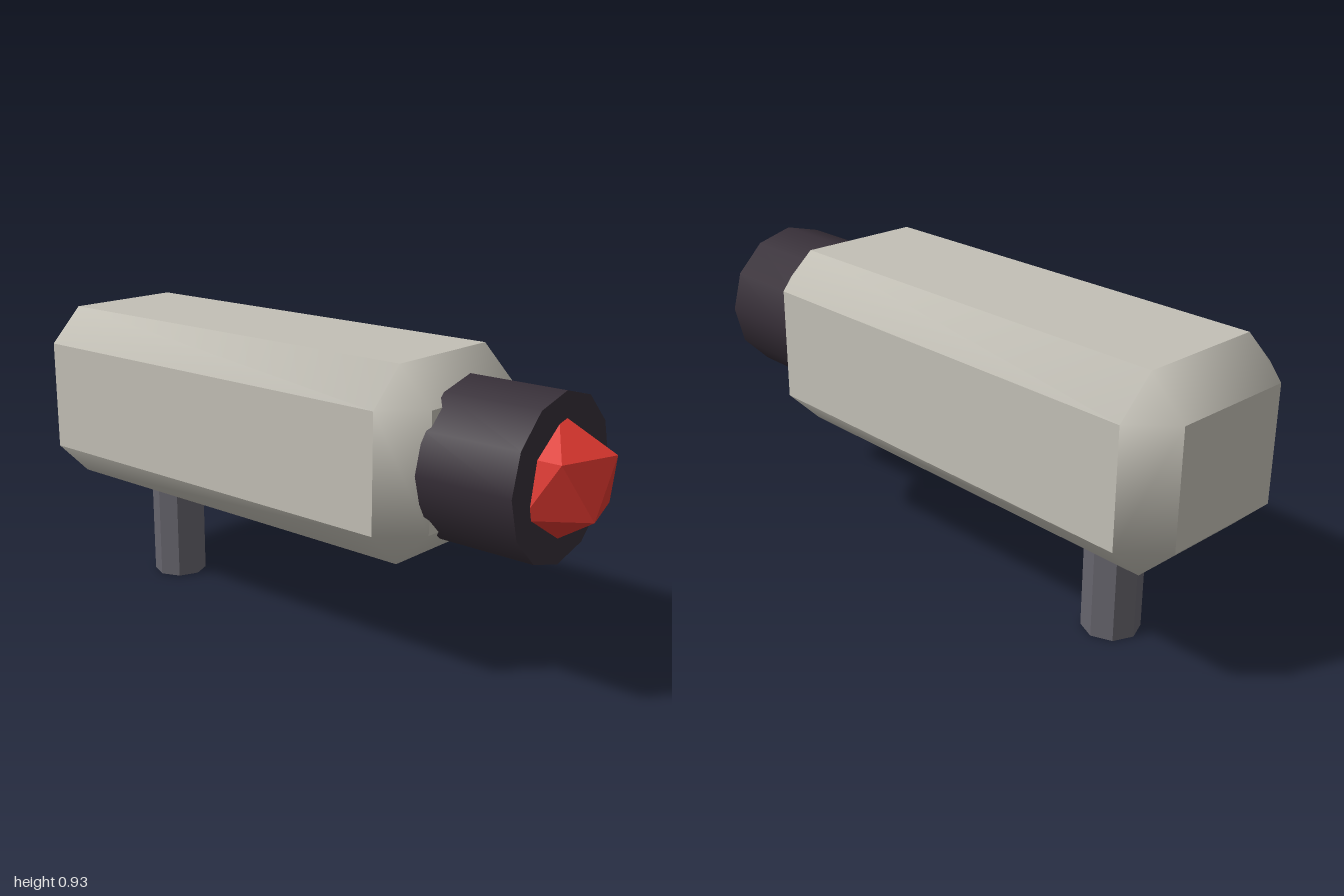
import * as THREE from 'three';
import { ConvexGeometry } from 'three/addons/geometries/ConvexGeometry.js';

const mat = (name, color) => {
  const m = new THREE.MeshStandardMaterial({ color });
  m.name = name;
  return m;
};

// Box with single chamfers: flat main faces, softly shaded chamfers
function chamferedBox(w, h, d, c) {
  const half = [w / 2, h / 2, d / 2];
  const points = [];
  for (const sx of [-1, 1]) for (const sy of [-1, 1]) for (const sz of [-1, 1]) {
    for (let axis = 0; axis < 3; axis++) {
      const p = half.map((v, i) => (i === axis ? v : v - c));
      points.push(new THREE.Vector3(sx * p[0], sy * p[1], sz * p[2]));
    }
  }
  const geo = new ConvexGeometry(points);
  const pos = geo.attributes.position, nor = geo.attributes.normal;
  for (let i = 0; i < pos.count; i++) {
    const n = [nor.getX(i), nor.getY(i), nor.getZ(i)];
    if (Math.max(...n.map(Math.abs)) > 0.99) continue; // main face stays flat
    const p = [pos.getX(i), pos.getY(i), pos.getZ(i)];
    const v = new THREE.Vector3(...p.map((q, k) =>
      Math.sign(q) * (Math.abs(q) > half[k] - c / 2 ? 1 : 0.65))).normalize();
    nor.setXYZ(i, v.x, v.y, v.z);
  }
  return geo;
}

// Swap to unshared vertices with facet normals
function faceted(geo) {
  const g = geo.index ? geo.toNonIndexed() : geo;
  g.computeVertexNormals();
  return g;
}

export function createModel() {
  const group = new THREE.Group();
  const axisY = 0.64;
  const add = (name, geo, material, x, y, z) => {
    const mesh = new THREE.Mesh(geo, material);
    mesh.name = name;
    mesh.position.set(x, y, z);
    group.add(mesh);
  };

  // Long chamfered housing
  add('body', chamferedBox(0.615, 0.57, 1.585, 0.11), mat('warm grey', 0xc3c0b6), 0, axisY, -0.2075);

  // Twelve-sided collar on the front
  const collar = new THREE.CylinderGeometry(0.24, 0.24, 0.305, 12).rotateX(Math.PI / 2);
  add('collar', collar, mat('dark plum', 0x362e37), 0, axisY, 0.7175);

  // Faceted gem, one vertex straight up, half sunk in the collar
  const gem = new THREE.IcosahedronGeometry(0.179, 0)
    .rotateX(-Math.atan((1 + Math.sqrt(5)) / 2))
    .rotateY(Math.PI / 10);
  add('gem', faceted(gem), mat('red', 0xdc372f), 0, axisY, 0.848);

  // Octagonal post under the rear
  const post = new THREE.CylinderGeometry(0.0875, 0.0875, 0.4, 8);
  add('post', faceted(post), mat('slate grey', 0x66646c), 0, 0.2, -0.645);

  return group;
}
